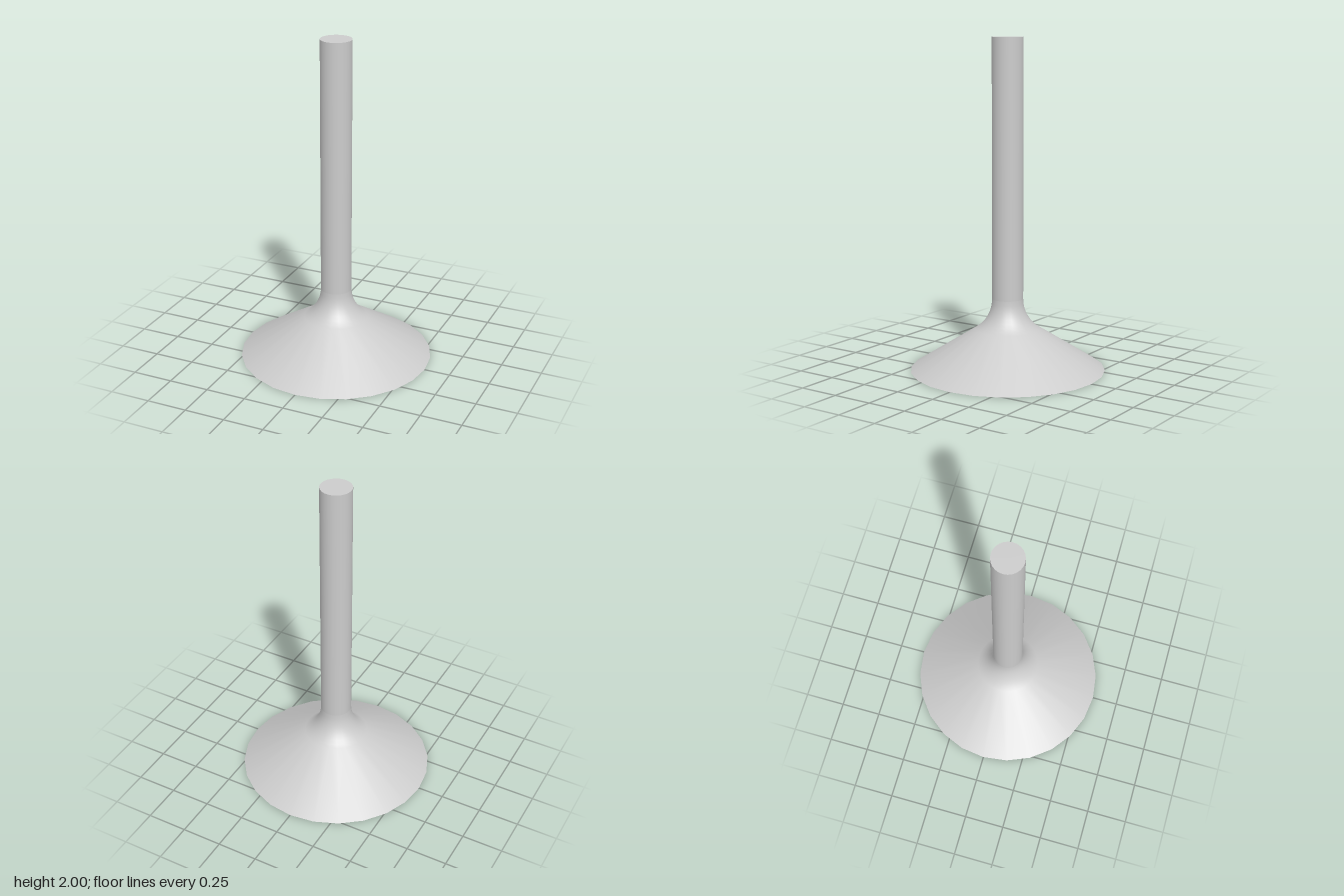
import * as THREE from 'three';

const SIDES = 24;
const ROD_RADIUS = 0.094, BASE_RADIUS = 0.59, HEIGHT = 2;
const FILLET_RADIUS = 0.22, FILLET_TOP = 0.435, FILLET_STEPS = 8;
const FILLET_TURN = THREE.MathUtils.degToRad(57.5);

export function createModel() {
  const group = new THREE.Group();
  const material = new THREE.MeshStandardMaterial({ color: 0xcccccc });
  const add = (name, geometry) => {
    const mesh = new THREE.Mesh(geometry, material);
    mesh.name = name;
    group.add(mesh);
    return mesh;
  };

  // Flared foot: straight cone that blends into the rod through a round fillet
  const profile = [new THREE.Vector2(BASE_RADIUS, 0)];
  for (let i = FILLET_STEPS; i >= 0; i--) {
    const a = (FILLET_TURN * i) / FILLET_STEPS;
    profile.push(new THREE.Vector2(
      ROD_RADIUS + FILLET_RADIUS * (1 - Math.cos(a)),
      FILLET_TOP - FILLET_RADIUS * Math.sin(a)
    ));
  }
  add('flaredFoot', new THREE.LatheGeometry(profile, SIDES));

  // Rod, open at both ends
  const rodLength = HEIGHT - FILLET_TOP;
  add('rod', new THREE.CylinderGeometry(ROD_RADIUS, ROD_RADIUS, rodLength, SIDES, 1, true))
    .position.y = FILLET_TOP + rodLength / 2;

  // Flat end faces with sharp rims
  add('rodEnd', new THREE.CircleGeometry(ROD_RADIUS, SIDES).rotateX(-Math.PI / 2)).position.y = HEIGHT;
  add('underside', new THREE.CircleGeometry(BASE_RADIUS, SIDES).rotateX(Math.PI / 2));

  return group;
}
